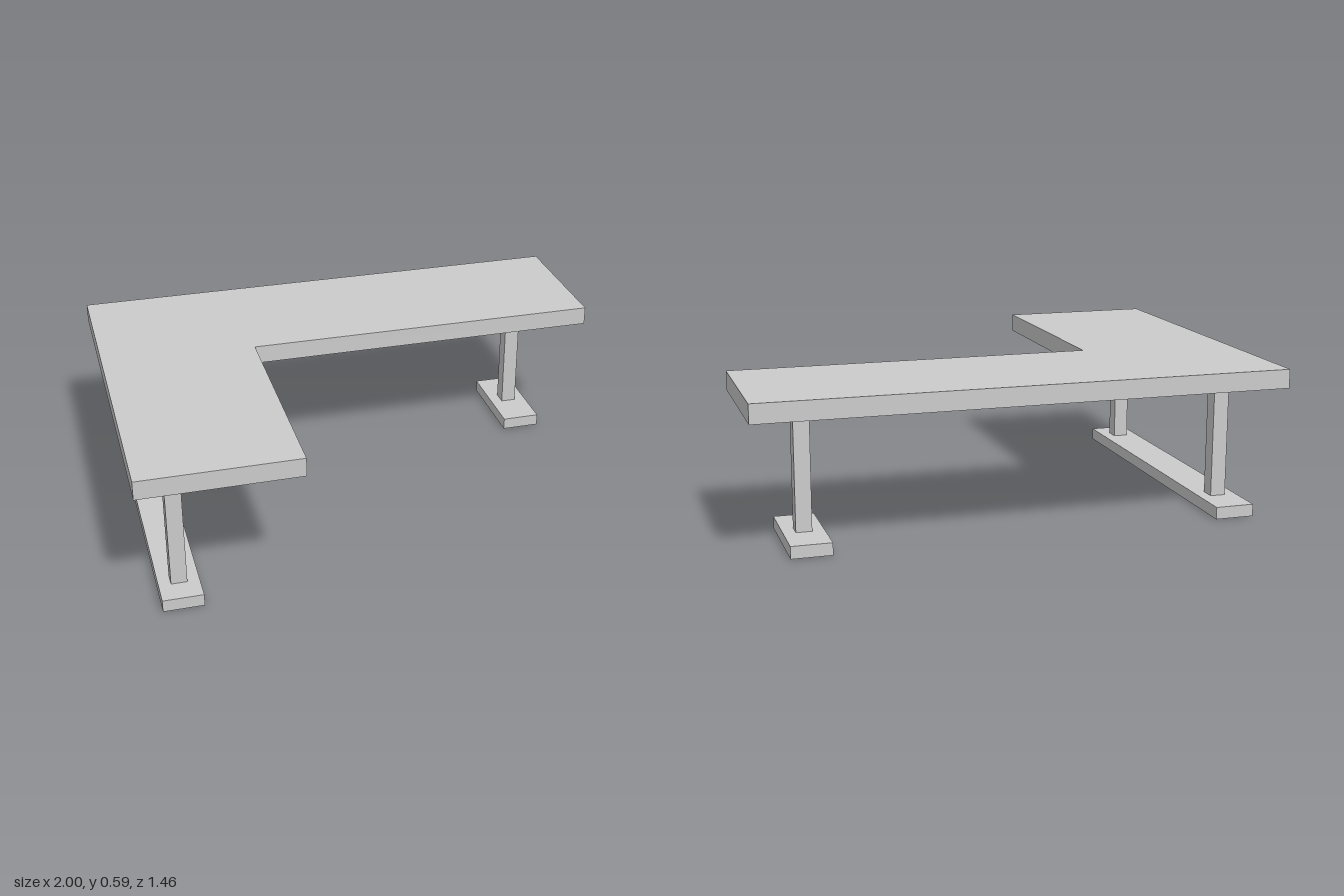
import * as THREE from 'three';

const material = new THREE.MeshStandardMaterial({ color: 0xcccccc, flatShading: true });

// Box given by its [min, max] range on each axis
function block(name, [x0, x1], [y0, y1], [z0, z1]) {
  const mesh = new THREE.Mesh(new THREE.BoxGeometry(x1 - x0, y1 - y0, z1 - z0), material);
  mesh.position.set((x0 + x1) / 2, (y0 + y1) / 2, (z0 + z1) / 2);
  mesh.name = name;
  return mesh;
}

// L-shaped top, drawn in plan (shape y is -z) and extruded upwards
function tabletop(bottom, top) {
  const outline = [[-1, 0.73], [1, 0.73], [1, 0.16], [-0.4, 0.16], [-0.4, -0.73], [-1, -0.73]];
  const shape = new THREE.Shape(outline.map(([x, y]) => new THREE.Vector2(x, y)));
  const geometry = new THREE.ExtrudeGeometry(shape, { depth: top - bottom, bevelEnabled: false });
  geometry.rotateX(-Math.PI / 2);
  const mesh = new THREE.Mesh(geometry, material);
  mesh.position.y = bottom;
  mesh.name = 'tabletop';
  return mesh;
}

// Foot bar, mounting plate and one or more square posts between them
function legFrame(name, x, footZ, plateZ, postZs) {
  const frame = new THREE.Group();
  frame.name = name;
  const wide = [x - 0.076, x + 0.076];
  frame.add(block('foot', wide, [0, 0.047], footZ));
  frame.add(block('mountingPlate', wide, [0.495, 0.517], plateZ));
  for (const z of postZs) {
    frame.add(block('post', [x - 0.03, x + 0.03], [0.047, 0.495], [z - 0.03, z + 0.03]));
  }
  return frame;
}

export function createModel() {
  const desk = new THREE.Group();
  desk.name = 'cornerDesk';
  desk.add(tabletop(0.517, 0.589));
  desk.add(legFrame('rightLegFrame', -0.85, [-0.63, 0.675], [-0.63, 0.655], [0.55, -0.45]));
  desk.add(legFrame('leftLegFrame', 0.782, [-0.63, -0.26], [-0.63, -0.27], [-0.45]));
  return desk;
}
